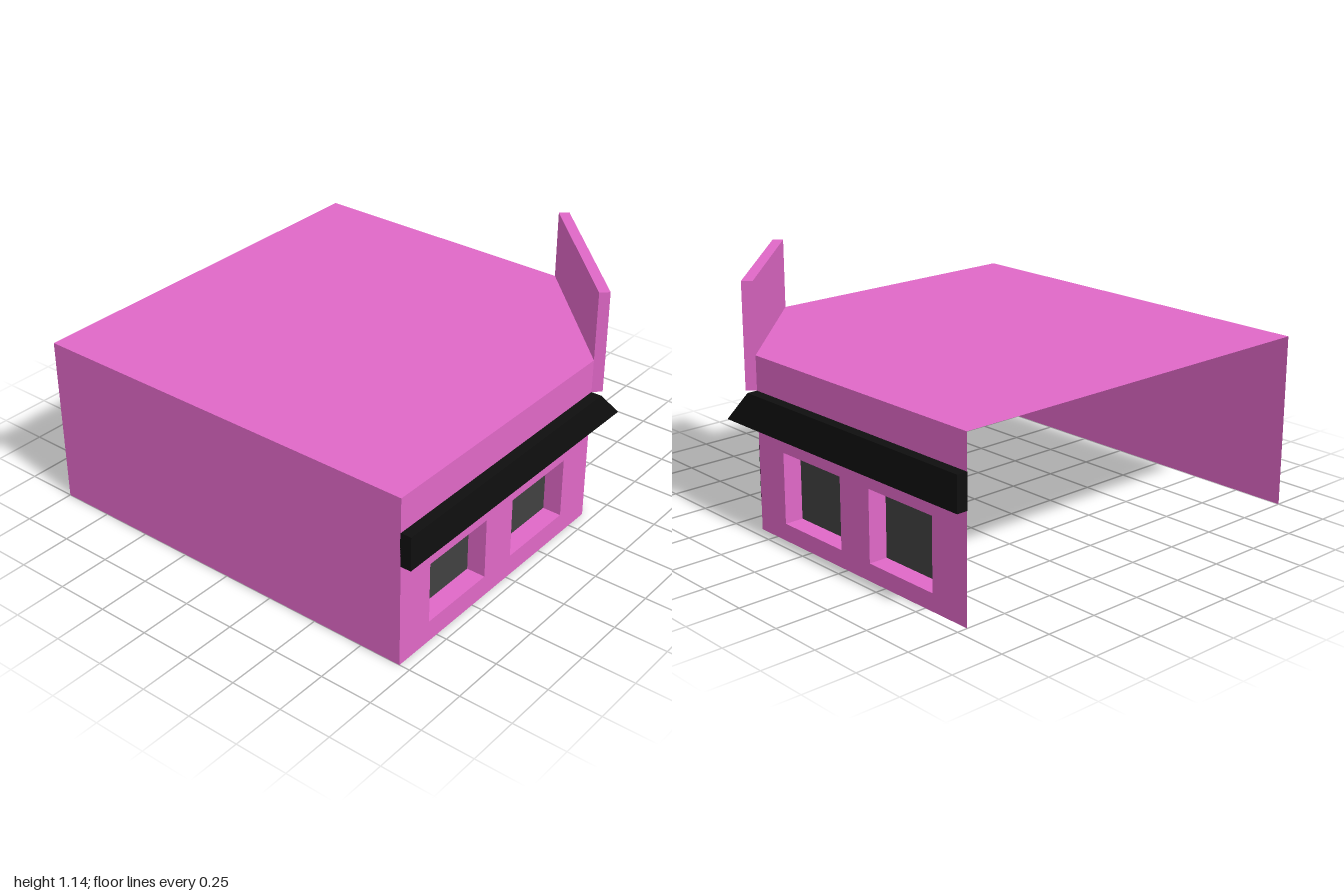
import * as THREE from 'three';

const material = (name, color) =>
  new THREE.MeshStandardMaterial({ name, color, side: THREE.DoubleSide });

export function createModel() {
  const pink = material('pink wall', 0xe068c7);
  const black = material('black trim', 0x0f0f0f);
  const darkGlass = material('dark glass', 0x414141);
  const greyPanel = material('grey panel', 0x777777);

  const H = 0.81;      // roof height
  const C = 0.365;     // where the corner is cut off
  const F = 0.95;      // front and side wall planes
  const DEPTH = 0.09;  // depth of the recesses
  const model = new THREE.Group();
  model.name = 'cornerShop';

  const add = (parent, name, geometry, mat, x = 0, y = 0, z = 0) => {
    const mesh = new THREE.Mesh(geometry, mat);
    mesh.name = name;
    mesh.position.set(x, y, z);
    parent.add(mesh);
    return mesh;
  };
  const polygon = (points) => new THREE.Shape(points.map(([x, y]) => new THREE.Vector2(x, y)));

  // Recessed pane with its reveals; openings are [x0, x1, y0, y1]
  const recess = (parent, name, [x0, x1, y0, y1], depth) => {
    const w = x1 - x0, h = y1 - y0, cx = (x0 + x1) / 2, cy = (y0 + y1) / 2;
    add(parent, name, new THREE.PlaneGeometry(w, h), darkGlass, cx, cy, -depth);
    const side = new THREE.PlaneGeometry(depth, h).rotateY(Math.PI / 2);
    const flat = new THREE.PlaneGeometry(w, depth).rotateX(Math.PI / 2);
    add(parent, name + 'RevealLeft', side, pink, x0, cy, -depth / 2);
    add(parent, name + 'RevealRight', side, pink, x1, cy, -depth / 2);
    add(parent, name + 'RevealTop', flat, pink, cx, y1, -depth / 2);
    if (y0 > 0) add(parent, name + 'Sill', flat, pink, cx, y0, -depth / 2);
  };

  // Wall in a local frame: x along the wall, y up, z outwards
  const wall = (name, width, origin, angle, openings, paneName, depth) => {
    const group = new THREE.Group();
    group.name = name;
    group.position.set(origin[0], 0, origin[1]);
    group.rotation.y = angle;
    model.add(group);

    const outline = [[0, 0]];
    for (const [x0, x1, y0, y1] of openings) {
      if (y0 === 0) outline.push([x0, 0], [x0, y1], [x1, y1], [x1, 0]);
    }
    outline.push([width, 0], [width, H], [0, H]);
    const shape = polygon(outline);
    for (const opening of openings) {
      const [x0, x1, y0, y1] = opening;
      if (y0 > 0) shape.holes.push(polygon([[x0, y0], [x0, y1], [x1, y1], [x1, y0]]));
      recess(group, paneName, opening, depth);
    }
    add(group, name + 'Panel', new THREE.ShapeGeometry(shape), pink);
    return group;
  };

  // Black awning band with a slanted end
  const band = (parent, points) => add(parent, 'awningBand',
    new THREE.ExtrudeGeometry(polygon(points), { depth: 0.053, bevelEnabled: false }),
    black, 0, 0, -0.003);

  const L = 1 + C;
  const front = wall('frontWall', L, [-1, F], 0,
    [[0.195, 0.585, 0.1, 0.39], [0.775, 1.17, 0.1, 0.39]], 'window', DEPTH);
  band(front, [[0, 0.49], [L + 0.165, 0.49], [L, 0.65], [0, 0.65]]);

  const side = wall('leftWall', L, [F, C], Math.PI / 2,
    [[0.18, 0.575, 0.08, 0.41], [0.765, 1.16, 0.08, 0.41]], 'window', DEPTH);
  band(side, [[-0.165, 0.49], [L, 0.49], [L, 0.65], [0, 0.65]]);

  // Cut-off corner with the doorway
  const W = (F - C) * Math.SQRT2, mid = W / 2;
  const corner = wall('cornerWall', W, [C, F], Math.PI / 4,
    [[mid - 0.14, mid + 0.14, 0, 0.39]], 'door', 0.1);
  for (const s of [-1, 1]) {
    add(corner, 'cornerWindow', new THREE.BoxGeometry(0.165, 0.26, 0.0095), black,
      mid + s * 0.273, 0.26, 0.007);
  }

  // Sign board above the door: black face, pink edges and back
  add(corner, 'signBoard', new THREE.BoxGeometry(W, 0.49, 0.05),
    [pink, pink, pink, pink, black, pink], mid, 0.895, 0.025);
  add(corner, 'signPanel', new THREE.BoxGeometry(0.41, 0.24, 0.006), greyPanel, mid, 0.895, 0.052);

  // Plain far wall and flat roof
  add(model, 'rightWall', new THREE.PlaneGeometry(1 + F, H).rotateY(-Math.PI / 2),
    pink, -1, H / 2, (F - 1) / 2);
  const roof = polygon([[-1, 1], [-1, -F], [C, -F], [F, -C], [F, 1]]);
  add(model, 'roof', new THREE.ShapeGeometry(roof).rotateX(-Math.PI / 2), pink, 0, H, 0);

  return model;
}
